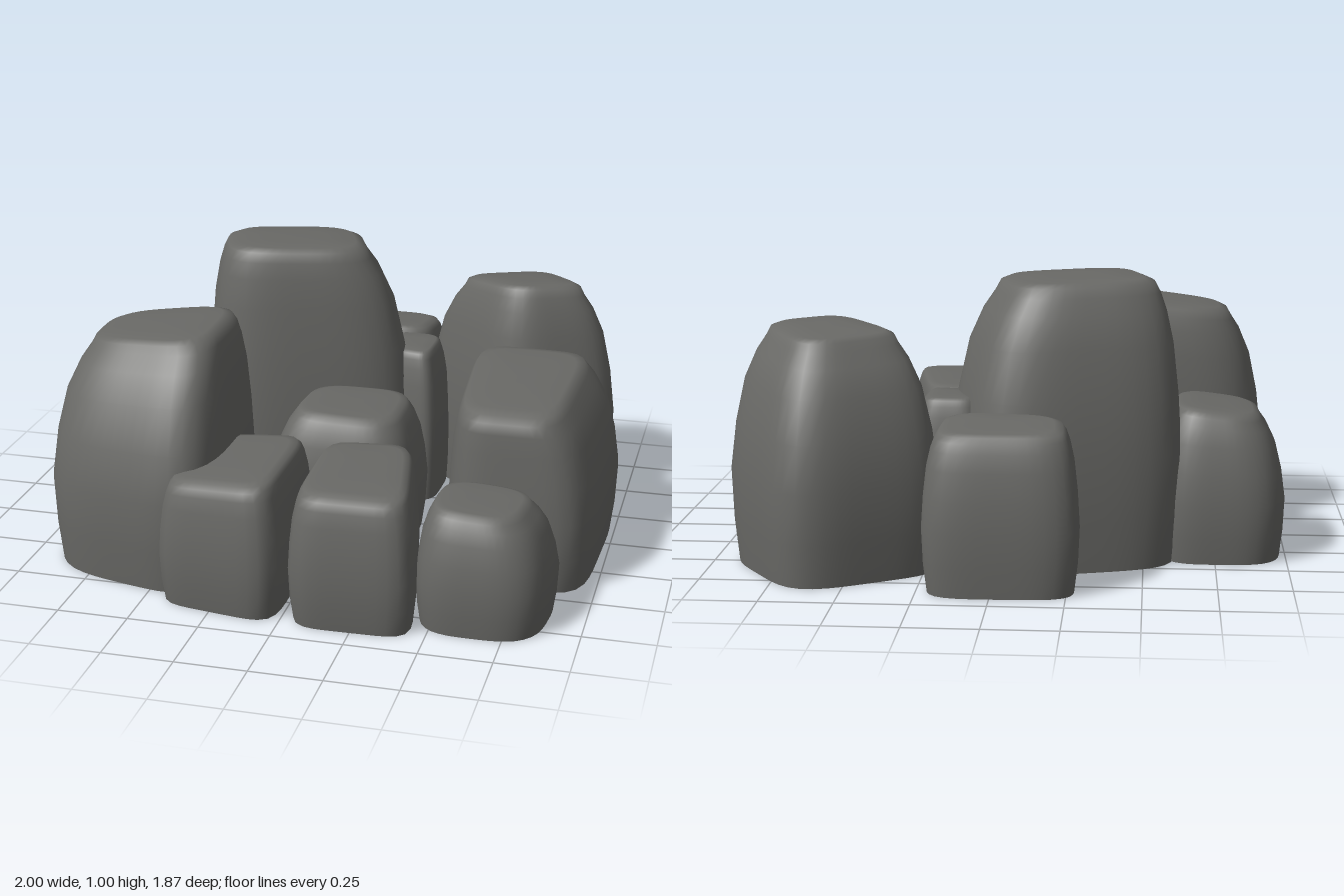
import * as THREE from 'three';

const { lerp, mapLinear } = THREE.MathUtils;
const SIDES = 48;

// Upright profile: height fraction, blend from plan to top extents, scale about the middle
const PROFILE = [
  [0, 0, 0.935], [0.18, 0, 0.98], [0.4, 0, 1], [0.6, 0.16, 1], [0.78, 0.42, 1],
  [0.89, 0.74, 1], [0.95, 1, 0.995], [0.985, 1, 0.93], [1, 1, 0.8], [1.003, 1, 0.4],
];

// Rounded square stretched over four plan corners: back right, back left, front left, front right
function roundedPlan([p, q, r, s], squareness) {
  const outline = [];
  for (let i = 0; i < SIDES; i++) {
    const angle = (i / SIDES) * Math.PI * 2;
    const c = Math.cos(angle), d = Math.sin(angle);
    const radius = (Math.abs(c) ** squareness + Math.abs(d) ** squareness) ** (-1 / squareness);
    const u = (c * radius + 1) / 2, v = (d * radius + 1) / 2;
    const at = (k) => lerp(lerp(p[k], q[k], u), lerp(s[k], r[k], u), v);
    outline.push(new THREE.Vector3(at(0), 0, at(1)));
  }
  return outline;
}

// Stacks the plan up the profile; top gives the extents [x0, x1, z0, z1] of the upper face
function rockGeometry(corners, height, { top, slopeX = 0, slopeZ = 0, squareness = 4.5 }) {
  const outline = roundedPlan(corners, squareness);
  const { min, max } = new THREE.Box3().setFromPoints(outline);
  const inset = 0.035;
  const [x0, x1, z0, z1] = top ?? [min.x + inset, max.x - inset, min.z + inset, max.z - inset];
  const topX = (x0 + x1) / 2, topZ = (z0 + z1) / 2;
  const midX = (min.x + max.x) / 2, midZ = (min.z + max.z) / 2;
  const pos = [], index = [];

  for (const [t, blend, scale] of PROFILE) {
    const cx = lerp(midX, topX, blend), cz = lerp(midZ, topZ, blend);
    for (const p of outline) {
      const x = lerp(cx, lerp(p.x, mapLinear(p.x, min.x, max.x, x0, x1), blend), scale);
      const z = lerp(cz, lerp(p.z, mapLinear(p.z, min.z, max.z, z0, z1), blend), scale);
      const tilt = slopeX * (x - topX) + slopeZ * (z - topZ);
      pos.push(x, t * height + tilt * t * t, z);
    }
  }

  // Top cap shares the last ring; the base has its own vertices for a sharp edge
  const last = (PROFILE.length - 1) * SIDES;
  const topCentre = last + SIDES, base = topCentre + 1;
  pos.push(topX, height * 1.004, topZ);
  pos.push(...pos.slice(0, SIDES * 3), midX, 0, midZ);

  for (let i = 0; i < SIDES; i++) {
    const n = (i + 1) % SIDES;
    for (let row = 0; row < last; row += SIDES) {
      const a = row + i, b = row + n;
      index.push(a, a + SIDES, b, b, a + SIDES, b + SIDES);
    }
    index.push(topCentre, last + n, last + i);
    index.push(base + SIDES, base + i, base + n);
  }

  const geometry = new THREE.BufferGeometry();
  geometry.setAttribute('position', new THREE.Float32BufferAttribute(pos, 3));
  geometry.setIndex(index);
  geometry.computeVertexNormals();
  return geometry;
}

export function createModel() {
  const group = new THREE.Group();
  group.name = 'rockCluster';
  const stone = new THREE.MeshStandardMaterial({ color: 0x696966 });
  stone.name = 'grey stone';

  function addRock(name, corners, height, options = {}) {
    const mesh = new THREE.Mesh(rockGeometry(corners, height, options), stone);
    mesh.name = name;
    group.add(mesh);
  }

  // Tall rocks around the rim
  addRock('tallRock', [[-0.68, -0.49], [0.04, -0.7], [0.24, -0.18], [-0.5, 0.04]], 0.99,
    { top: [-0.55, 0.03, -0.52, -0.06], slopeX: -0.01, slopeZ: 0.03, squareness: 3.6 });
  addRock('backLeftRock', [[0.12, -0.6], [0.66, -0.93], [1, -0.43], [0.56, -0.19]], 0.83,
    { top: [0.34, 0.81, -0.69, -0.31], slopeX: 0.02, slopeZ: 0.12, squareness: 4 });
  addRock('leftSlabRock', [[0.39, -0.32], [1.01, -0.31], [0.98, 0.48], [0.47, 0.48]], 0.645,
    { top: [0.46, 0.88, -0.28, 0.465], slopeZ: -0.01, squareness: 5 });
  addRock('largeRightRock', [[-0.94, 0.12], [-0.28, 0.01], [-0.27, 0.85], [-0.93, 0.7]], 0.83,
    { top: [-0.82, -0.33, 0.11, 0.59], slopeX: 0.1, squareness: 3.6 });

  // Low rocks at the front
  addRock('frontLeftRock', [[0.44, 0.44], [0.91, 0.45], [0.87, 0.87], [0.43, 0.87]], 0.415,
    { top: [0.48, 0.8, 0.5, 0.81], slopeX: -0.06, squareness: 3.2 });
  addRock('frontRock', [[0, 0.36], [0.36, 0.32], [0.48, 0.93], [0.02, 0.94]], 0.475, { squareness: 5.5 });
  addRock('frontRightRock', [[-0.34, 0.33], [0, 0.34], [0, 0.94], [-0.47, 0.87]], 0.465,
    { slopeX: 0.08, squareness: 5.5 });

  // Low rocks at the back, right and inside
  addRock('backRock', [[-0.3, -0.93], [0.24, -0.94], [0.22, -0.54], [-0.28, -0.58]], 0.55,
    { top: [-0.25, 0.19, -0.89, -0.59], slopeZ: 0.1, squareness: 4 });
  addRock('rightRock', [[-1, -0.45], [-0.53, -0.46], [-0.56, 0.1], [-0.99, 0.09]], 0.53,
    { top: [-0.91, -0.6, -0.39, 0.03], slopeX: 0.12, squareness: 3.4 });
  addRock('centreRock', [[-0.2, -0.12], [0.31, -0.17], [0.32, 0.33], [-0.23, 0.34]], 0.5,
    { top: [-0.14, 0.25, -0.1, 0.27], slopeX: -0.04, squareness: 3.6 });
  addRock('innerRock', [[0.03, -0.54], [0.31, -0.53], [0.3, -0.2], [0.1, -0.24]], 0.585, { squareness: 4 });

  return group;
}
